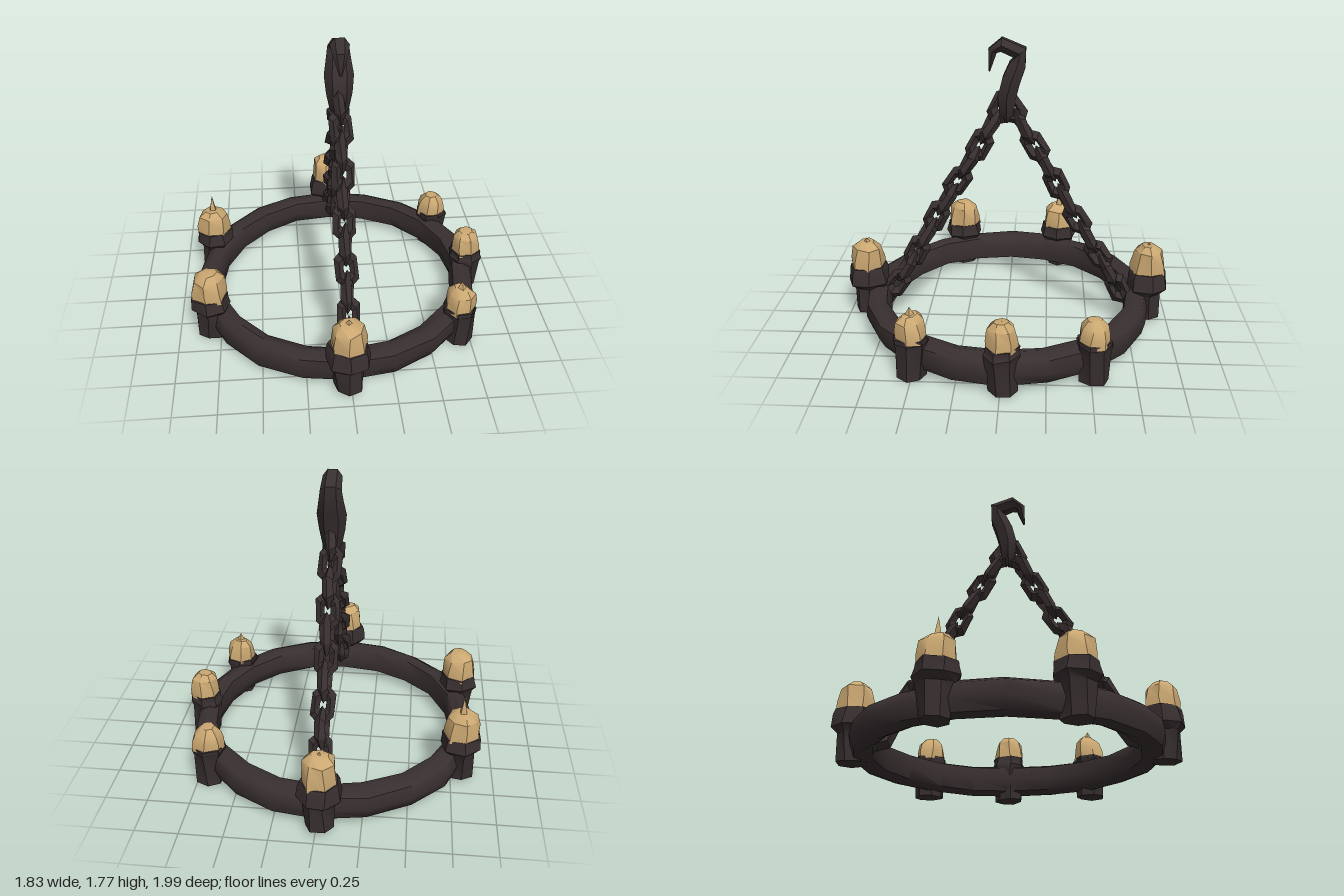
import * as THREE from 'three';
import { toCreasedNormals } from 'three/addons/utils/BufferGeometryUtils.js';

const iron = new THREE.MeshStandardMaterial({ color: 0x382f30 });
iron.name = 'dark iron';
const wax = new THREE.MeshStandardMaterial({ color: 0xcba872 });
wax.name = 'candle wax';

// Uneven hand-hewn surface: shift each vertex by a smooth rule of its position
function roughen(geo, amount, seed = 0) {
  const p = geo.attributes.position;
  for (let i = 0; i < p.count; i++) {
    const x = p.getX(i), y = p.getY(i), z = p.getZ(i);
    p.setXYZ(i,
      x + amount * Math.sin(31 * z + 17 * y + seed),
      y + amount * 0.5 * Math.sin(23 * x + 29 * z + seed * 2),
      z + amount * Math.sin(27 * x + 19 * y + seed * 3));
  }
  return geo;
}

function part(name, geo, material, crease = 0.6) {
  const mesh = new THREE.Mesh(toCreasedNormals(geo, crease), material);
  mesh.name = name;
  return mesh;
}

function lathe(points, sides) {
  return new THREE.LatheGeometry(points.map(([r, y]) => new THREE.Vector2(r, y)), sides);
}

// Tapering bar in the yz plane; each section is [z, y, half width, half thickness]
function bar(sections, sides = 6) {
  const pos = [], index = [];
  sections.forEach(([z, y, hx, ht], i) => {
    const a = sections[Math.max(i - 1, 0)], b = sections[Math.min(i + 1, sections.length - 1)];
    const len = Math.hypot(b[0] - a[0], b[1] - a[1]);
    const tz = (b[0] - a[0]) / len, ty = (b[1] - a[1]) / len;
    for (let j = 0; j < sides; j++) {
      const t = (j / sides) * Math.PI * 2;
      pos.push(hx * Math.cos(t), y + tz * ht * Math.sin(t), z - ty * ht * Math.sin(t));
      if (i < sections.length - 1) {
        const p = i * sides + j, q = i * sides + (j + 1) % sides;
        index.push(p, q, q + sides, p, q + sides, p + sides);
      }
    }
  });
  const geo = new THREE.BufferGeometry();
  geo.setAttribute('position', new THREE.Float32BufferAttribute(pos, 3));
  geo.setIndex(index);
  return geo;
}

// Candle in its iron cup
function candle({ x, z, base, cupR, cupTop, r, top, tip }, seed) {
  const g = new THREE.Group();
  g.name = 'candleHolder' + (seed + 1);
  const cup = lathe([
    [0, base], [0.085, base], [0.095, 0.2], [cupR, 0.235],
    [cupR - 0.01, cupTop - 0.03], [r + 0.005, cupTop], [0, cupTop],
  ], 7);
  const body = lathe([
    [r, cupTop - 0.02], [r * 0.98, cupTop + 0.04], [r * 0.84, top - 0.02], [r * 0.45, top + 0.015], [0, top + 0.02],
  ], 7);
  g.add(part('cup', roughen(cup, 0.007, seed), iron));
  g.add(part('candle', roughen(body, 0.007, seed + 2), wax));
  // Pointed wick
  const h = tip - top + 0.02;
  const wick = part('wick', new THREE.ConeGeometry(Math.min(0.045, 0.02 + 0.002 / h), h, 4), wax);
  wick.position.set(0, top - 0.02 + h / 2, 0);
  g.add(wick);
  g.rotation.y = seed * 0.8;
  g.position.set(x, 0, z);
  return g;
}

// Chain of alternating links from the ring up to the hook
function chain(side) {
  const g = new THREE.Group();
  g.name = side > 0 ? 'frontChain' : 'backChain';
  const from = new THREE.Vector3(0, 0.22, 0.69 * side);
  const to = new THREE.Vector3(0, 1.37, 0.03 * side);
  const up = new THREE.Vector3(0, 1, 0);
  const lean = new THREE.Quaternion().setFromUnitVectors(up, to.clone().sub(from).normalize());
  const count = 11;
  for (let i = 0; i < count; i++) {
    const geo = new THREE.TorusGeometry(0.049, 0.029, 4, 6);
    geo.rotateZ(Math.PI / 6);
    geo.scale(1, 1.65, 1.1);
    const link = part('link', roughen(geo, 0.006, i), iron, 0.5);
    const twist = new THREE.Quaternion().setFromAxisAngle(up, i % 2 ? 0.12 : Math.PI / 2 - 0.12);
    link.quaternion.copy(lean).multiply(twist);
    link.position.lerpVectors(from, to, i / (count - 1));
    g.add(link);
  }
  return g;
}

export function createModel() {
  const model = new THREE.Group();
  model.name = 'chandelier';

  // Heavy ring with a rounded, slightly uneven section
  const ringGeo = lathe([
    [0.745, 0.06], [0.8, 0.035], [0.855, 0.05], [0.88, 0.12], [0.865, 0.195],
    [0.81, 0.225], [0.75, 0.205], [0.73, 0.13], [0.745, 0.06],
  ], 20);
  const ring = part('ring', roughen(ringGeo, 0.006, 1), iron, 0.9);
  ring.position.x = -0.015;
  model.add(ring);

  // Seven candles around the ring
  [
    { x: -0.02, z: 0.87, base: 0.035, cupR: 0.13, cupTop: 0.34, r: 0.105, top: 0.48, tip: 0.52 },
    { x: -0.02, z: -0.87, base: 0.035, cupR: 0.13, cupTop: 0.34, r: 0.105, top: 0.49, tip: 0.52 },
    { x: -0.8, z: 0.34, base: 0.02, cupR: 0.125, cupTop: 0.31, r: 0.108, top: 0.45, tip: 0.47 },
    { x: -0.8, z: -0.33, base: 0.02, cupR: 0.125, cupTop: 0.31, r: 0.108, top: 0.44, tip: 0.56 },
    { x: 0.68, z: 0.5, base: 0.005, cupR: 0.105, cupTop: 0.255, r: 0.092, top: 0.37, tip: 0.43 },
    { x: 0.68, z: -0.51, base: 0.005, cupR: 0.105, cupTop: 0.255, r: 0.092, top: 0.36, tip: 0.38 },
    { x: 0.81, z: -0.01, base: 0.01, cupR: 0.105, cupTop: 0.285, r: 0.092, top: 0.41, tip: 0.43 },
  ].forEach((c, i) => model.add(candle(c, i)));

  model.add(chain(1), chain(-1));

  // Ceiling hook: shaft that curls over to a pointed tip
  const hookGeo = bar([
    [0, 1.28, 0.02, 0.01], [0, 1.33, 0.055, 0.045], [0, 1.43, 0.075, 0.06],
    [-0.025, 1.53, 0.085, 0.06], [-0.06, 1.62, 0.07, 0.055], [-0.075, 1.69, 0.06, 0.05],
    [0.03, 1.735, 0.055, 0.045], [0.08, 1.7, 0.045, 0.03], [0.1, 1.58, 0.008, 0.005],
  ]);
  model.add(part('hook', hookGeo, iron, 0.7));

  return model;
}
